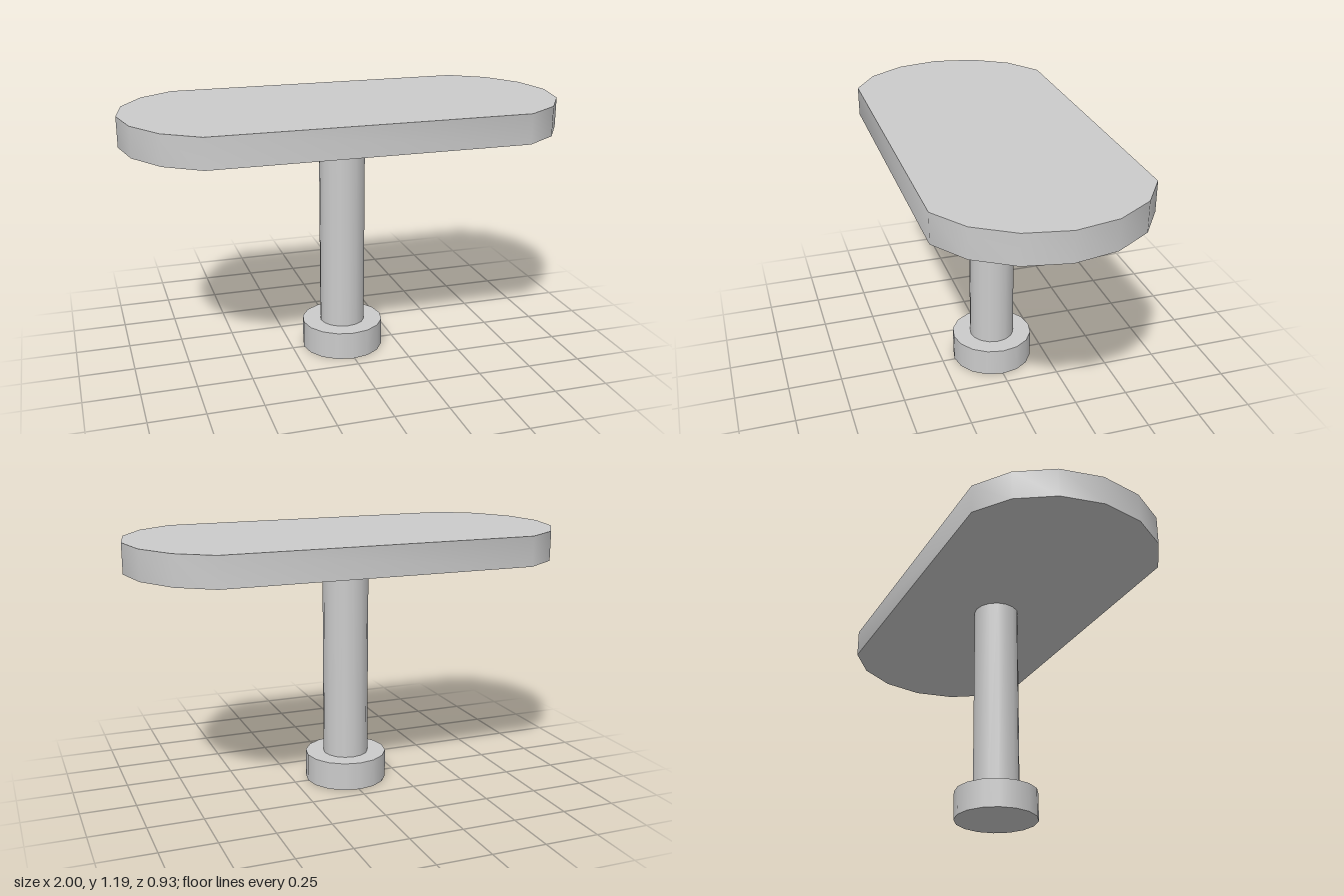
import * as THREE from 'three';
import { toCreasedNormals } from 'three/addons/utils/BufferGeometryUtils.js';

export function createModel() {
  const group = new THREE.Group();
  group.name = 'pedestalTable';
  const material = new THREE.MeshStandardMaterial({ color: 0xcccccc });

  function add(name, geometry, x, y) {
    const mesh = new THREE.Mesh(geometry, material);
    mesh.name = name;
    mesh.position.set(x, y, 0);
    group.add(mesh);
  }

  // Round foot and column, standing from bottom to top
  function addDrum(name, radius, bottom, top) {
    const height = top - bottom;
    add(name, new THREE.CylinderGeometry(radius, radius, height, 16), -0.005, bottom + height / 2);
  }
  addDrum('base', 0.19, 0, 0.13);
  addDrum('column', 0.105, 0.13, 1.05);

  // Tabletop: one quarter of the faceted outline, mirrored to all four corners
  const quarter = [[0.705, 0.463], [0.86, 0.357], [0.963, 0.193]];
  const mirrored = (sx, sy) => quarter.map(([x, y]) => new THREE.Vector2(x * sx, y * sy));
  const outline = [
    new THREE.Vector2(1, 0),
    ...mirrored(1, 1).reverse(),
    ...mirrored(-1, 1),
    new THREE.Vector2(-1, 0),
    ...mirrored(-1, -1).reverse(),
    ...mirrored(1, -1),
  ];
  const slab = new THREE.ExtrudeGeometry(new THREE.Shape(outline), { depth: 0.135, bevelEnabled: false });
  slab.rotateX(-Math.PI / 2);
  add('tabletop', toCreasedNormals(slab, Math.PI / 3), 0, 1.05);

  return group;
}
